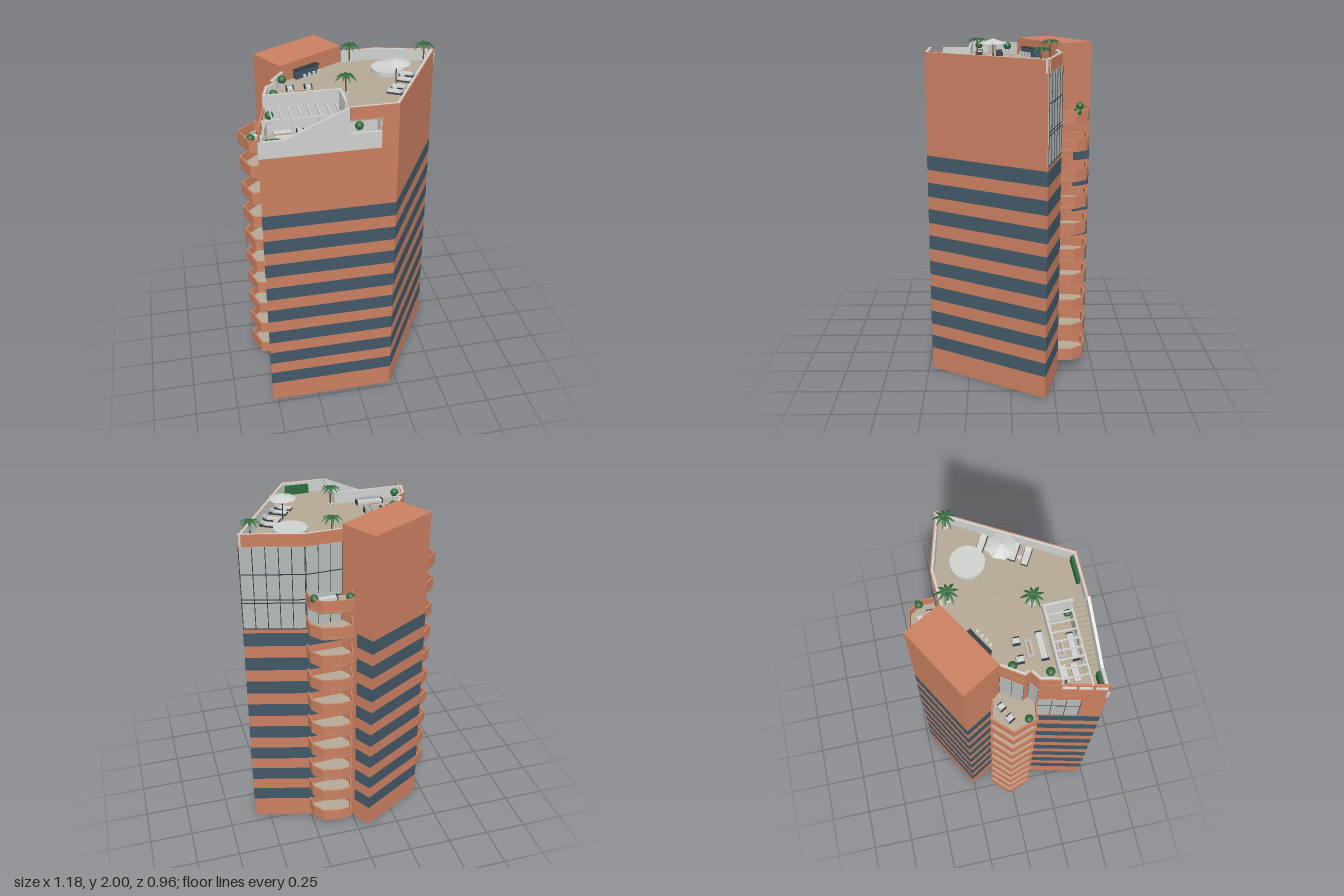
import * as THREE from 'three';

const mat = (name, color, extra = {}) => {
  const m = new THREE.MeshStandardMaterial({ color, ...extra });
  m.name = name;
  return m;
};

export function createModel() {
  const M = {
    brick: mat('terracotta', 0xc97f60),
    band: mat('window band', 0x435867),
    deck: mat('deck beige', 0xb3a894),
    wall: mat('pale grey', 0xcfd1ce),
    glass: mat('glazing grey', 0xb4bab8),
    dark: mat('dark frame', 0x343c42),
    leaf: mat('leaf green', 0x2f6a3c, { side: THREE.DoubleSide }),
    trunk: mat('trunk brown', 0x6b5138),
  };
  const root = new THREE.Group();
  root.name = 'apartmentTower';

  const add = (name, geo, m, x = 0, y = 0, z = 0, parent = root) => {
    const mesh = new THREE.Mesh(geo, m);
    mesh.name = name;
    mesh.position.set(x, y, z);
    parent.add(mesh);
    return mesh;
  };
  const box = (name, m, w, h, d, x, y, z, parent) =>
    add(name, new THREE.BoxGeometry(w, h, d), m, x, y + h / 2, z, parent);
  const cyl = (name, m, r0, r1, h, x, y, z, parent, n = 16) =>
    add(name, new THREE.CylinderGeometry(r0, r1, h, n), m, x, y + h / 2, z, parent);
  const group = (name, x, y, z, angle = 0) => {
    const g = new THREE.Group();
    g.name = name;
    g.position.set(x, y, z);
    g.rotation.y = angle;
    root.add(g);
    return g;
  };
  // Vertical prism over a plan outline of [x, z] points
  const prism = (name, pts, y0, y1, m) => {
    const shape = new THREE.Shape(pts.map(([x, z]) => new THREE.Vector2(x, -z)));
    const geo = new THREE.ExtrudeGeometry(shape, { depth: y1 - y0, bevelEnabled: false });
    geo.rotateX(-Math.PI / 2);
    return add(name, geo, m, 0, y0, 0);
  };
  // Wall along an outline edge; offsets are measured outward
  const plate = (name, m, p, q, y0, y1, o0, o1) => {
    const dx = q[0] - p[0], dz = q[1] - p[1], L = Math.hypot(dx, dz), o = (o0 + o1) / 2;
    const b = box(name, m, L, y1 - y0, o1 - o0,
      (p[0] + q[0]) / 2 - (dz / L) * o, y0, (p[1] + q[1]) / 2 + (dx / L) * o);
    b.rotation.y = Math.atan2(-dz, dx);
    return b;
  };
  const lerp = (p, q, t) => [p[0] + (q[0] - p[0]) * t, p[1] + (q[1] - p[1]) * t];

  // Plan corners
  const A = [-0.53, 0.475], B = [0.2, 0.475], C = [0.587, -0.193], D = [0.25, -0.285], E = [0.047, -0.275];
  const T1 = [-0.07, -0.475], T2 = [-0.455, -0.255], T3 = [-0.335, -0.05];
  const H1 = [-0.41, 0.06], H2 = [-0.395, 0.09], F = [-0.445, 0.125], G = [-0.47, 0.23];
  const low = 1.69, roof = 1.85, top = 1.92;

  // Main mass, penthouse mass and service tower
  prism('body', [A, B, C, D, E, T1, T2, T3, H1, H2, F], 0, low, M.brick);
  prism('penthouse', [[-0.055, 0.39], [0.11, 0.39], [0.11, 0.475], B, C, D, E, T3, H1, H2, F, G, [-0.055, 0.23]],
    low, roof, M.brick);
  prism('serviceTower', [E, T1, T2, T3], low, 1.95, M.brick);

  // Window bands
  const bandEdges = [[A, B], [B, C], [C, D], [D, E], [lerp(E, T1, 0.5), T1], [T1, T2], [T2, T3],
    [T3, H1], [H1, H2], [H2, F], [F, A]];
  for (let i = 0; i < 8; i++)
    for (const [p, q] of bandEdges)
      plate('windowBand', M.band, p, q, 0.135 + i * 0.1595, 0.218 + i * 0.1595, -0.003, 0.002);

  // Tall glazing with mullions
  const glaze = (p, q, y0, y1, n, rails) => {
    plate('glazing', M.glass, p, q, y0, y1, -0.003, 0.002);
    for (let i = 0; i <= n; i++) {
      const t = 0.008 + (i / n) * 0.984;
      plate('mullion', M.dark, lerp(p, q, t - 0.006), lerp(p, q, t + 0.006), y0, y1, 0, 0.004);
    }
    for (const y of rails) plate('glazingRail', M.dark, p, q, y, y + 0.005, 0, 0.004);
  };
  glaze(C, D, 1.36, roof, 5, [1.36, 1.52, 1.54, 1.69]);
  glaze(D, E, 1.36, roof, 3, [1.36, 1.52, 1.54, 1.69]);
  glaze(T3, H1, 1.36, 1.78, 2, [1.52]);
  glaze(H2, F, 1.36, 1.78, 1, [1.52]);
  glaze(F, lerp(F, A, 0.65), 1.36, 1.62, 3, [1.52]);

  // Roof deck and parapets
  prism('roofDeck', [[-0.055, 0.475], B, C, D, E, T3, H1, H2, F, G, [-0.055, 0.23]], roof - 0.006, roof + 0.003, M.deck);
  for (const [p, q] of [[[-0.055, 0.475], B], [B, C], [C, D], [D, E], [T3, H1], [H1, H2], [H2, F], [F, G]]) {
    plate('parapet', M.brick, p, q, roof, top, -0.006, 0);
    plate('parapetLining', M.wall, p, q, roof, top, -0.018, -0.006);
  }

  // Lower terrace: floor, walls and sloped front
  prism('terraceFloor', [A, [0.11, 0.475], [0.11, 0.39], [-0.055, 0.39], [-0.055, 0.23], G], low, low + 0.005, M.deck);
  box('terraceBackWall', M.wall, 0.415, top - low, 0.012, -0.2625, low, 0.236);
  box('terraceSideWall', M.wall, 0.012, top - low, 0.16, -0.061, low, 0.31);
  box('recessBackWall', M.wall, 0.165, roof - low, 0.008, 0.0275, low, 0.394);
  box('recessSideWall', M.wall, 0.006, roof - low, 0.08, 0.107, low, 0.43);
  const front = new THREE.Shape([[-0.53, 1.68], [0.11, 1.68], [0.11, 1.775], [-0.06, 1.775],
    [-0.06, top], [-0.4, 1.775], [-0.53, 1.775]].map(([x, y]) => new THREE.Vector2(x, y)));
  add('terraceFrontWall', new THREE.ExtrudeGeometry(front, { depth: 0.016, bevelEnabled: false }), M.wall, 0, 0, 0.461);
  plate('terraceRim', M.brick, G, A, low, 1.78, -0.006, 0);
  plate('terraceRimLining', M.wall, G, A, low, 1.78, -0.018, -0.006);
  plate('terraceTopRail', M.brick, G, A, 1.835, roof, -0.012, 0);
  for (const t of [0.02, 0.35, 0.68, 0.98])
    plate('terracePost', M.brick, lerp(G, A, t - 0.02), lerp(G, A, t + 0.02), 1.78, 1.84, -0.012, 0);

  // Stairs from terrace to deck
  const steps = 15;
  for (let i = 0; i < steps; i++)
    box('stairStep', M.deck, 0.345 / steps - 0.001, ((i + 1) / steps) * (roof - low), 0.072,
      -0.4 + ((i + 0.5) / steps) * 0.345, low, 0.425);

  // Pergola
  box('pergolaBeam', M.wall, 0.45, 0.012, 0.01, -0.28, 1.838, 0.386);
  for (let i = 0; i < 8; i++) box('pergolaSlat', M.wall, 0.007, 0.012, 0.155, -0.44 + i * 0.05, 1.842, 0.312);
  for (const x of [-0.49, -0.34, -0.2]) box('pergolaPost', M.wall, 0.01, 1.84 - low, 0.01, x, low, 0.386);

  // Two stacks of balconies
  const backRing = [[0.255, -0.285], [0.255, -0.37], [0.205, -0.435], [0.1, -0.455], [0.03, -0.445], [0.008, -0.345]];
  const sideRing = [[-0.38, -0.1], [-0.49, -0.132], [-0.592, -0.03], [-0.545, 0.11], F];
  for (const [ring, inner] of [[backRing, [E]], [sideRing, [H2, H1, T3]]])
    for (let i = 0; i < 10; i++) {
      const y = 0.07 + i * 0.16 + (i > 7 ? 0.015 : 0), outline = [...ring, ...inner];
      prism('balconySlab', outline, y, y + 0.012, M.brick);
      prism('balconyFloor', outline, y + 0.012, y + 0.015, M.deck);
      for (let k = 0; k + 1 < ring.length; k++)
        plate('balconyParapet', M.brick, ring[k], ring[k + 1], y, y + 0.073, -0.009, 0);
    }

  // Seating: seat, back and arms, facing local +z
  const sofa = (name, w, x, y, z, angle = 0) => {
    const g = group(name, x, y, z, angle);
    box('seat', M.wall, w, 0.014, 0.036, 0, 0.004, 0, g);
    box('back', M.glass, w, 0.034, 0.008, 0, 0, -0.018, g);
    for (const s of [-1, 1]) box('arm', M.dark, 0.005, 0.024, 0.04, s * w / 2, 0, 0, g);
  };
  const table = (x, y, z, w = 0.095) => {
    box('coffeeTable', M.glass, w, 0.018, 0.036, x, y, z);
    box('tableRunner', M.brick, w * 0.75, 0.003, 0.009, x, y + 0.018, z);
  };
  for (const [x, y, z] of [[-0.25, roof, 0.12], [-0.23, low, 0.3]]) {
    sofa('sofa', 0.15, x, y + 0.004, z + 0.065, Math.PI);
    for (const s of [-1, 1]) sofa('armchair', 0.036, x + s * 0.05, y + 0.004, z - 0.058);
    table(x, y + 0.004, z);
  }
  for (const z of [0.28, 0.34]) {
    box('diningTable', M.wall, 0.1, 0.035, 0.034, -0.375, low, z);
    box('diningTrim', M.brick, 0.104, 0.004, 0.038, -0.375, low + 0.026, z);
  }
  const by = 1.54;
  sofa('balconySofa', 0.11, 0.145, by, -0.32, Math.PI);
  box('balconyTable', M.wall, 0.065, 0.02, 0.028, 0.145, by, -0.382);
  sofa('balconyChair', 0.036, -0.495, by, -0.03, 0.5);
  sofa('balconyChair', 0.036, -0.425, by, -0.06, 0.5);

  // Bar on the service tower, with stools
  const bar = group('bar', -0.18, roof, -0.125, Math.PI / 6);
  box('barCounter', M.band, 0.16, 0.05, 0.034, 0, 0, 0, bar);
  box('barTop', M.dark, 0.165, 0.005, 0.04, 0, 0.05, 0, bar);
  for (let i = 0; i < 4; i++) cyl('barStool', M.wall, 0.009, 0.006, 0.032, -0.045 + i * 0.033, 0, 0.045, bar, 10);

  // Hot tub, parasol and loungers
  cyl('hotTub', M.wall, 0.093, 0.093, 0.03, 0.28, roof, -0.085, root, 32);
  cyl('parasolPole', M.dark, 0.003, 0.003, 0.13, 0.28, roof, 0.095, root, 8);
  const canopy = add('parasol', new THREE.ConeGeometry(0.079, 0.025, 8), M.wall, 0.28, 1.9875, 0.095);
  canopy.geometry = canopy.geometry.toNonIndexed();
  canopy.geometry.computeVertexNormals();
  for (const [x, z] of [[0.375, 0.01], [0.345, 0.085], [0.29, 0.165], [0.25, 0.222]]) {
    const g = group('lounger', x, roof, z, -Math.PI / 6);
    box('loungerFrame', M.dark, 0.1, 0.008, 0.04, 0, 0.008, 0, g);
    box('loungerPad', M.wall, 0.07, 0.008, 0.034, -0.013, 0.016, 0, g);
    box('loungerHead', M.glass, 0.032, 0.008, 0.034, 0.034, 0.022, 0, g).rotation.z = 0.5;
  }
  for (const [x, z] of [[0.335, 0.03], [0.25, 0.185]]) cyl('sideTable', M.wall, 0.013, 0.013, 0.025, x, roof, z);

  // Palms with drooping, tapered fronds
  const frond = new THREE.PlaneGeometry(0.068, 0.018, 4, 2).rotateX(-Math.PI / 2).translate(0.034, 0, 0);
  const fp = frond.attributes.position;
  for (let i = 0; i < fp.count; i++) {
    const t = fp.getX(i) / 0.068, z = fp.getZ(i) * Math.sin(Math.PI * (0.1 + 0.88 * t));
    fp.setZ(i, z);
    fp.setY(i, 0.045 * t - 0.07 * t * t - Math.abs(z) * 0.4);
  }
  frond.computeVertexNormals();
  for (const [x, z] of [[0.09, -0.225], [0.51, -0.155], [-0.02, 0.19]]) {
    const g = group('palm', x, roof, z);
    cyl('palmPot', M.wall, 0.016, 0.012, 0.025, 0, 0, 0, g);
    cyl('palmTrunk', M.trunk, 0.003, 0.005, 0.122, 0, 0, 0, g, 8);
    for (let i = 0; i < 9; i++) {
      const f = add('palmFrond', frond, M.leaf, 0, 0.12, 0, g);
      f.rotation.y = (i / 9) * Math.PI * 2;
      f.scale.setScalar(0.85 + 0.15 * (i % 3) / 2);
    }
  }

  // Potted shrubs and hedges
  for (const [x, y, z] of [[-0.53, by, 0.065], [0.04, by, -0.405], [0.23, by, -0.375], [-0.335, roof, 0.015],
    [-0.405, roof, 0.19], [-0.44, 1.76, 0.25], [-0.075, 1.75, 0.365], [0.0, 1.745, 0.43]]) {
    cyl('shrubPot', M.wall, 0.014, 0.011, 0.03, x, y, z);
    add('shrub', new THREE.IcosahedronGeometry(0.023, 2), M.leaf, x, y + 0.05, z);
  }
  box('hedge', M.leaf, 0.08, 0.08, 0.018, -0.45, low, 0.447);
  box('hedge', M.leaf, 0.14, 0.055, 0.017, 0.115, roof, 0.447);

  return root;
}
